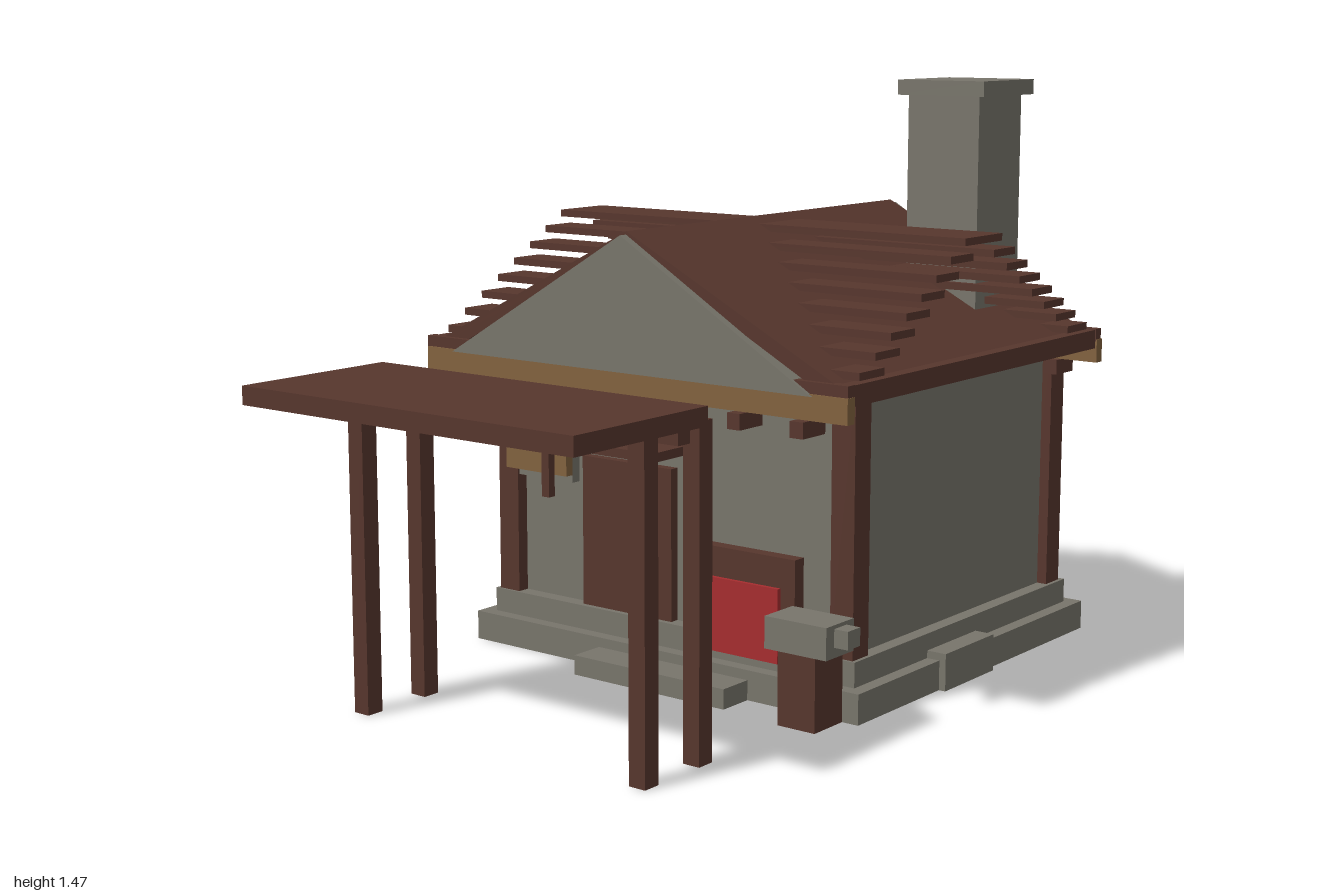
import * as THREE from 'three';

const mat = (name, color) => {
  const m = new THREE.MeshStandardMaterial({ color });
  m.name = name;
  return m;
};

export function createModel() {
  const stone = mat('stone grey', 0x78756b);
  const wood = mat('dark wood', 0x57362d);
  const tan = mat('light wood', 0x82623f);
  const red = mat('red', 0xa62d2f);
  const house = new THREE.Group();
  house.name = 'house';

  // Box from its min and max on each axis
  const box = (name, m, x0, x1, y0, y1, z0, z1, parent = house) => {
    const mesh = new THREE.Mesh(new THREE.BoxGeometry(x1 - x0, y1 - y0, z1 - z0), m);
    mesh.position.set((x0 + x1) / 2, (y0 + y1) / 2, (z0 + z1) / 2);
    mesh.name = name;
    parent.add(mesh);
    return mesh;
  };
  // Outline in x and y, extruded along z
  const prism = (name, m, pts, z0, z1) => {
    const shape = new THREE.Shape(pts.map(p => new THREE.Vector2(...p)));
    const mesh = new THREE.Mesh(
      new THREE.ExtrudeGeometry(shape, { depth: z1 - z0, bevelEnabled: false }), m);
    mesh.position.z = z0;
    mesh.name = name;
    house.add(mesh);
  };
  const group = name => {
    const g = new THREE.Group();
    g.name = name;
    house.add(g);
    return g;
  };

  // Foundation and steps
  box('foundation', stone, -0.63, 0.575, 0, 0.075, -1, 0.075);
  box('plinth', stone, -0.595, 0.54, 0.075, 0.137, -0.965, 0.04);
  box('frontStep', stone, -0.212, 0.255, 0, 0.05, 0.03, 0.17);
  box('sideStep', stone, 0.5, 0.593, 0, 0.094, -0.508, -0.28);

  // Walls and corner posts
  box('walls', stone, -0.555, 0.503, 0.137, 0.8, -0.925, 0);
  const posts = group('cornerPosts');
  for (const x of [-0.585, 0.465])
    for (const z of [-0.95, -0.032])
      box('cornerPost', wood, x, x + 0.065, 0.137, 0.79, z, z + 0.065, posts);

  // Gable body and overhanging roof panels
  prism('gable', stone, [[-0.525, 0.8], [0.565, 0.8], [0.02, 1.124]], -0.914, 0.265);
  prism('roof', wood, [[-0.61, 0.8], [-0.55, 0.8], [0.02, 1.1], [0.59, 0.8], [0.65, 0.8],
    [0.65, 0.812], [0.02, 1.132], [-0.61, 0.812]], -0.888, 0.242);

  // Eave boards, corner boards and tie beams
  for (const s of [-1, 1]) {
    const side = (name, a, b, y0, y1, z0, z1) =>
      box(name, wood, 0.02 + Math.min(s * a, s * b), 0.02 + Math.max(s * a, s * b), y0, y1, z0, z1);
    side('eaveBoard', 0.6, 0.635, 0.782, 0.83, -0.905, 0.255);
    side('frontCornerBoard', 0.49, 0.638, 0.8, 0.832, 0.23, 0.256);
    side('backCornerBoard', 0.49, 0.638, 0.8, 0.832, -0.906, -0.88);
  }
  box('frontBeam', tan, -0.615, 0.66, 0.745, 0.805, 0.232, 0.26);
  box('backBeam', tan, -0.615, 0.66, 0.745, 0.805, -0.91, -0.882);

  // Rafter ends under both beams
  const rafters = group('rafterEnds');
  for (let i = 0; i < 7; i++) {
    const x = -0.5 + i * 0.1737;
    box('frontRafter', wood, x - 0.018, x + 0.018, 0.707, 0.745, 0.2, 0.287, rafters);
    box('backRafter', wood, x - 0.018, x + 0.018, 0.707, 0.745, -0.942, -0.855, rafters);
  }

  // Cross roof of stepped slats
  const slats = group('roofSlats');
  for (let i = 0; i < 8; i++)
    for (const s of [-1, 1]) {
      const y = 0.844 + i * 0.0375, z = -0.325 + s * (0.472 - i * 0.0625);
      box('slat', wood, -0.603, 0.648, y - 0.009, y + 0.009, z - 0.05, z + 0.05, slats);
    }

  // Chimney
  box('chimney', stone, 0.272, 0.478, 0.885, 1.43, -0.782, -0.577);
  box('chimneyCap', stone, 0.25, 0.5, 1.43, 1.468, -0.805, -0.56);

  // Door with a small awning
  box('door', wood, -0.305, -0.018, 0.137, 0.525, -0.01, 0.025);
  box('awning', wood, -0.352, 0.03, 0.567, 0.59, 0, 0.156);
  for (const x of [-0.337, -0.012])
    box('awningStrut', wood, x, x + 0.024, 0.435, 0.567, 0.124, 0.146);

  // Hatch with red panel
  box('hatch', wood, 0.05, 0.365, 0.137, 0.355, -0.01, 0.036);
  box('redPanel', red, 0.088, 0.323, 0.095, 0.28, 0.036, 0.047);

  // Wall board
  box('boardBacking', stone, -0.52, -0.337, 0.45, 0.597, -0.01, 0.028);
  box('board', tan, -0.542, -0.337, 0.47, 0.58, 0.028, 0.052);

  // Free-standing canopy
  const canopy = group('canopy');
  box('canopyTop', wood, -0.465, 0.51, 0.772, 0.816, 0.565, 1, canopy);
  box('canopyBeam', wood, -0.42, 0.465, 0.73, 0.772, 0.57, 0.61, canopy);
  for (const x of [-0.42, 0.42])
    for (const z of [0.49, 0.678])
      box('canopyPost', wood, x, x + 0.045, 0, 0.773, z, z + 0.046, canopy);

  // Stand with a stone box and spout
  box('stand', wood, 0.425, 0.53, 0, 0.178, 0.075, 0.187);
  box('standBox', stone, 0.386, 0.56, 0.178, 0.256, 0.075, 0.187);
  box('spout', stone, 0.56, 0.598, 0.203, 0.247, 0.105, 0.155);

  // Bracket on the right wall
  box('bracket', wood, -0.665, -0.55, 0.514, 0.536, -0.72, -0.69);
  box('hanger', stone, -0.608, -0.588, 0.34, 0.514, -0.715, -0.695);

  return house;
}
